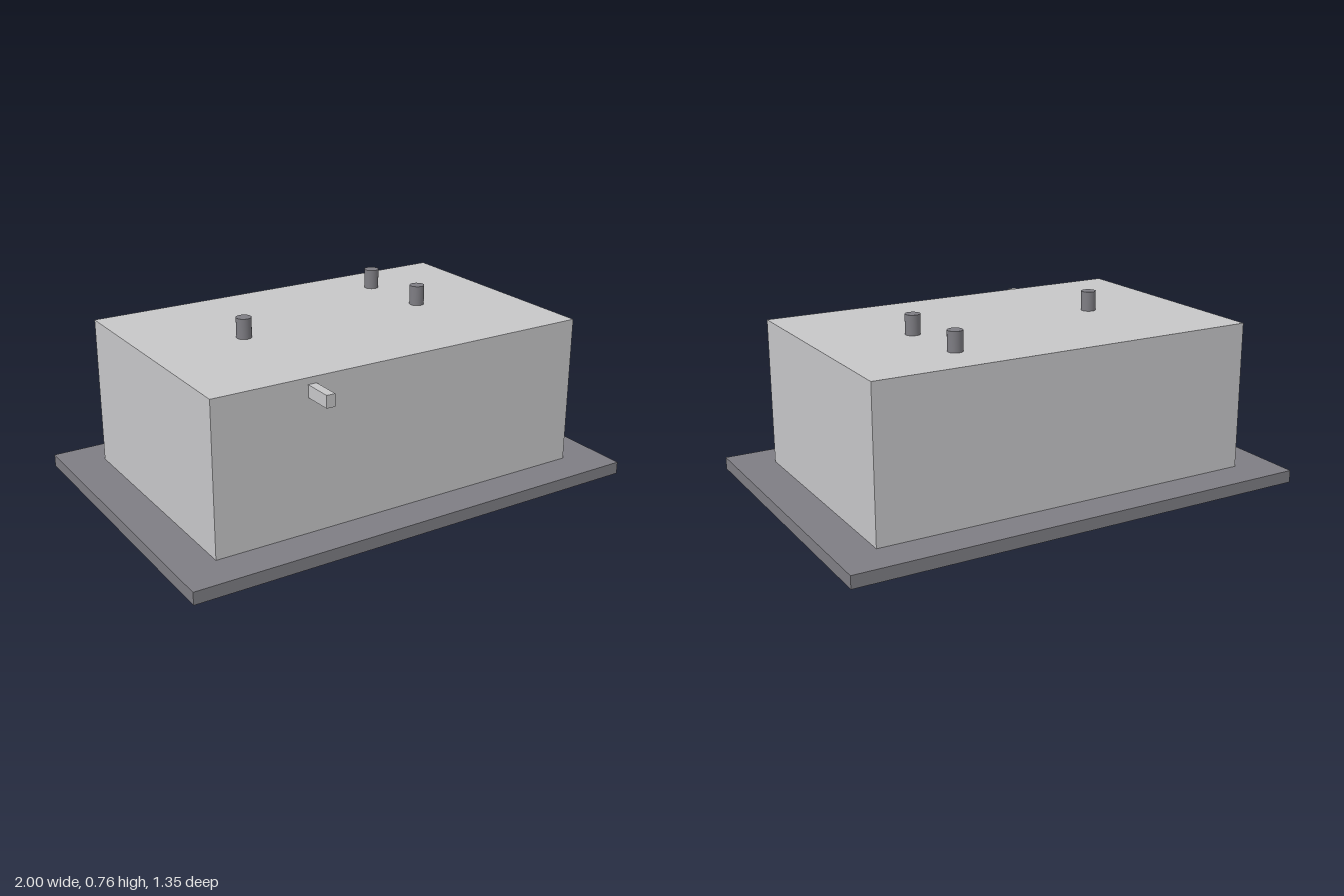
import * as THREE from 'three';

export function createModel() {
  const group = new THREE.Group();
  const material = (name, color) => {
    const m = new THREE.MeshStandardMaterial({ color });
    m.name = name;
    return m;
  };
  const lightGrey = material('light grey', 0xc6c6c8);
  const darkGrey = material('dark grey', 0x7e7d83);

  const add = (name, geometry, mat, x, y, z) => {
    const mesh = new THREE.Mesh(geometry, mat);
    mesh.name = name;
    mesh.position.set(x, y, z);
    group.add(mesh);
  };

  const baseTop = 0.052, bodyTop = 0.677, pinTop = 0.76;
  const bodyHeight = bodyTop - baseTop;
  const pinHeight = pinTop - bodyTop;

  // Flat base plate and the box standing on it
  add('basePlate', new THREE.BoxGeometry(2, baseTop, 1.352), darkGrey, 0, baseTop / 2, 0);
  add('body', new THREE.BoxGeometry(1.664, bodyHeight, 1.04), lightGrey, 0, baseTop + bodyHeight / 2, 0);

  // Square bar sticking out of the front
  add('frontBar', new THREE.BoxGeometry(0.036, 0.05, 0.125), lightGrey, -0.42, 0.625, 0.5825);

  // Three round pins on the lid
  const pin = new THREE.CylinderGeometry(0.031, 0.031, pinHeight, 24);
  [[-0.418, 0], [0.416, 0], [0.393, -0.312]].forEach(([x, z], i) =>
    add(`topPin${i + 1}`, pin, darkGrey, x, bodyTop + pinHeight / 2, z));

  return group;
}
